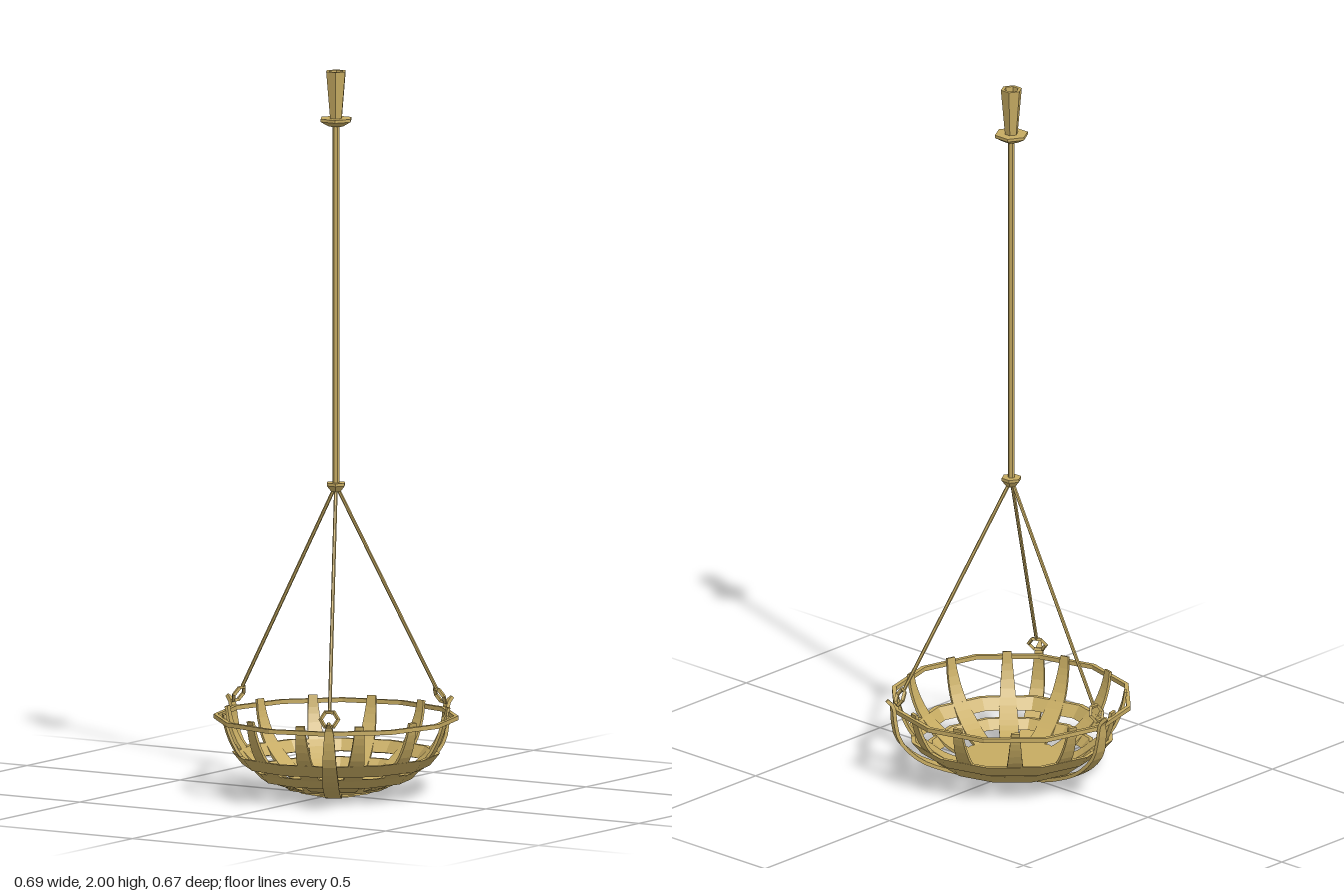
import * as THREE from 'three';

const brass = new THREE.MeshStandardMaterial({ color: 0xc6ab62, flatShading: true });

function addMesh(parent, name, geometry, material = brass) {
  const mesh = new THREE.Mesh(geometry, material);
  mesh.name = name;
  parent.add(mesh);
  return mesh;
}

// Faceted turned part; profile runs up the outside, corners point along x
function turned(profile, sides) {
  return new THREE.LatheGeometry(profile.map(([r, y]) => new THREE.Vector2(r, y)), sides, Math.PI / 2);
}

// Curved strap in the x-y plane: keys are [radius, height, width]
function strap(keys, thickness, steps) {
  const curve = new THREE.CatmullRomCurve3(keys.map(([r, y, w]) => new THREE.Vector3(r, y, w)));
  const pos = [], index = [];
  for (let i = 0; i <= steps; i++) {
    const p = curve.getPoint(i / steps), t = curve.getTangent(i / steps);
    const len = Math.hypot(t.x, t.y);
    const nx = (-t.y / len) * thickness / 2, ny = (t.x / len) * thickness / 2, h = p.z / 2;
    pos.push(p.x + nx, p.y + ny, h, p.x + nx, p.y + ny, -h, p.x - nx, p.y - ny, -h, p.x - nx, p.y - ny, h);
    if (i === steps) break;
    for (let k = 0; k < 4; k++) {
      const a = i * 4 + k, b = i * 4 + (k + 1) % 4;
      index.push(a, a + 4, b, b, a + 4, b + 4);
    }
  }
  const e = steps * 4;
  index.push(0, 1, 2, 0, 2, 3, e, e + 2, e + 1, e, e + 3, e + 2);
  const g = new THREE.BufferGeometry();
  g.setAttribute('position', new THREE.Float32BufferAttribute(pos, 3));
  g.setIndex(index);
  g.computeVertexNormals();
  return g;
}

// Straight bar between two points
function bar(parent, name, a, b, radius) {
  const mesh = addMesh(parent, name, new THREE.CylinderGeometry(radius, radius, a.distanceTo(b), 6));
  mesh.position.copy(a).add(b).multiplyScalar(0.5);
  mesh.quaternion.setFromUnitVectors(new THREE.Vector3(0, 1, 0), b.clone().sub(a).normalize());
}

export function createModel() {
  const model = new THREE.Group();
  model.name = 'hangingBasket';
  const body = new THREE.Group();
  body.name = 'basketAssembly';
  body.position.x = 0.01;
  model.add(body);

  // Ceiling cup with its flange, hanging rod and lower hub
  addMesh(body, 'ceilingCup', turned([[0, 1.868], [0.018, 1.868], [0.03, 2], [0.02, 2], [0.014, 1.93], [0, 1.93]], 6));
  addMesh(body, 'ceilingFlange', turned([[0, 1.848], [0.022, 1.848], [0.047, 1.862], [0.047, 1.87], [0, 1.87]], 6));
  addMesh(body, 'rod', new THREE.CylinderGeometry(0.009, 0.009, 1.01, 6)).position.y = 1.354;
  addMesh(body, 'hub', turned([[0, 0.838], [0.014, 0.838], [0.028, 0.855], [0.028, 0.863], [0, 0.863]], 6));

  // Rim and the two sloping bands
  const rings = {
    rim: [[0.335, 0.209], [0.335, 0.221], [0.323, 0.221], [0.323, 0.209]],
    upperBand: [[0.257, 0.083], [0.285, 0.117], [0.273, 0.117], [0.247, 0.086]],
    lowerBand: [[0.207, 0.045], [0.233, 0.073], [0.222, 0.073], [0.198, 0.048]],
  };
  for (const [name, p] of Object.entries(rings)) addMesh(body, name, turned([...p, p[0]], 12));

  // Stepped base plate
  addMesh(body, 'basePlate', turned([
    [0, 0], [0.06, 0], [0.06, 0.01], [0.105, 0.01], [0.105, 0.018],
    [0.14, 0.02], [0.152, 0.036], [0, 0.036]], 12));

  // Twelve tapering slats inside the bands
  const slat = strap([
    [0.313, 0.232, 0.024], [0.303, 0.185, 0.032], [0.273, 0.122, 0.043],
    [0.222, 0.074, 0.052], [0.18, 0.045, 0.053], [0.13, 0.027, 0.05]], 0.008, 14);
  for (let i = 0; i < 12; i++) {
    addMesh(body, 'slat', slat).rotation.y = (i + 0.5) * Math.PI / 6;
  }

  // Three carrying arms, each with a link and a suspension wire
  const arm = strap([
    [0.356, 0.248, 0.006], [0.34, 0.23, 0.02], [0.336, 0.19, 0.03], [0.322, 0.13, 0.038],
    [0.27, 0.073, 0.044], [0.2, 0.037, 0.044], [0.12, 0.012, 0.044], [0.05, 0.008, 0.04]], 0.01, 18);
  const link = new THREE.TorusGeometry(0.024, 0.006, 4, 6).rotateY(Math.PI / 2);
  for (let i = 0; i < 3; i++) {
    const side = new THREE.Group();
    side.name = 'suspension';
    side.rotation.y = Math.PI + i * Math.PI * 2 / 3;
    body.add(side);
    addMesh(side, 'arm', arm);
    const ring = addMesh(side, 'link', link);
    ring.position.set(0.318, 0.254, 0);
    ring.rotation.z = 0.49;
    bar(side, 'wire', new THREE.Vector3(0.306, 0.276, 0), new THREE.Vector3(0.006, 0.845, 0), 0.005);
  }
  return model;
}
